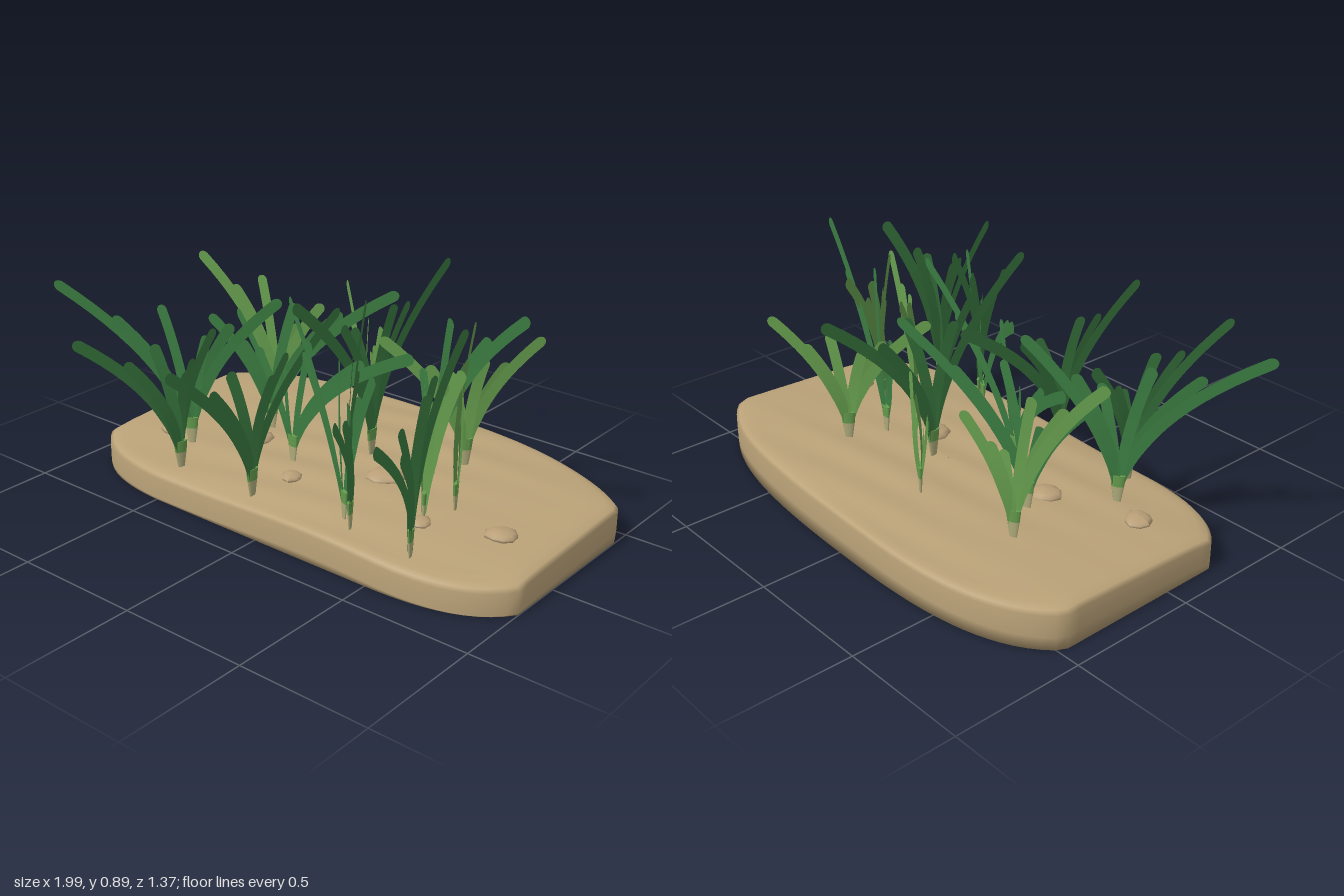
import * as THREE from 'three';

const mat = (name, color, side = THREE.FrontSide) => {
  const m = new THREE.MeshStandardMaterial({ color, side });
  m.name = name;
  return m;
};

// Height of the sand surface: falls to the front, back and ends, with gentle ripples
const sandHeight = (x, z) => 0.15 - 0.04 * z - 0.07 * Math.max(0, -z - 0.4) - 0.06 * Math.max(0, z - 0.1)
  - 0.025 * Math.abs(x) ** 3
  + 0.004 * Math.sin(z * 32 + x * 4) * Math.exp(-3 * x * x)
  + 0.006 * Math.sin(x * 5 + 0.6);

// Skin a list of equal-length closed rings of points
function loft(rings) {
  const n = rings[0].length, pos = [], idx = [];
  rings.forEach(r => r.forEach(p => pos.push(p.x, p.y, p.z)));
  for (let i = 0; i < rings.length - 1; i++) {
    for (let j = 0; j < n; j++) {
      const a = i * n + j, b = i * n + (j + 1) % n;
      idx.push(a, b, b + n, a, b + n, a + n);
    }
  }
  const g = new THREE.BufferGeometry();
  g.setAttribute('position', new THREE.Float32BufferAttribute(pos, 3));
  g.setIndex(idx);
  g.computeVertexNormals();
  return g;
}

// Sand slab: flat underside, upright wall, narrow rounded rim and rippled top
function sandGeometry() {
  const s = new THREE.Shape();
  s.moveTo(-0.92, 0.21);
  s.lineTo(-0.92, -0.48);
  s.bezierCurveTo(-0.78, -0.66, -0.5, -0.69, -0.2, -0.69);
  s.bezierCurveTo(0.3, -0.68, 0.8, -0.66, 1, -0.44);
  s.lineTo(1, 0.21);
  s.bezierCurveTo(0.9, 0.36, 0.7, 0.385, 0.5, 0.385);
  s.lineTo(-0.5, 0.38);
  s.bezierCurveTo(-0.72, 0.37, -0.85, 0.31, -0.92, 0.21);
  const outline = s.getSpacedPoints(120).slice(0, -1).reverse();
  const cx = 0.04, cz = -0.15;
  const ring = (k, drop) => outline.map(p => {
    const x = cx + (p.x - cx) * k, z = cz + (p.y - cz) * k;
    return new THREE.Vector3(x, drop === null ? 0 : sandHeight(x, z) - drop, z);
  });
  const rings = [ring(0.001, null), ring(0.998, null), ring(1, 0.1), ring(1, 0.018), ring(0.985, 0.006), ring(0.95, 0)];
  for (let i = 1; i <= 18; i++) rings.push(ring(0.95 * (1 - i / 18) + 0.001, 0));
  return loft(rings);
}

// Strap leaf: starts upright, arches to a round tip, broad in its own vertical plane
function leafGeometry(base, tip, halfWidth) {
  const off = new THREE.Vector3().subVectors(tip, base);
  const ctrl = new THREE.Vector3(base.x + off.x * 0.08, base.y + off.y * 0.53, base.z + off.z * 0.08);
  const curve = new THREE.QuadraticBezierCurve3(base, ctrl, tip);
  const N = new THREE.Vector3(off.z, 0, -off.x).normalize();
  const roundFrom = 1 - halfWidth / curve.getLength();
  const rows = 20, bodyRows = 14;
  const g = new THREE.PlaneGeometry(1, 1, 1, rows);
  for (let i = 0; i <= rows; i++) {
    const a = Math.max(0, (i - bodyRows) / (rows - bodyRows)) * Math.PI / 2;
    const t = i <= bodyRows ? roundFrom * i / bodyRows : roundFrom + (1 - roundFrom) * Math.sin(a);
    const S = new THREE.Vector3().crossVectors(N, curve.getTangent(t));
    const w = halfWidth * (0.5 + 0.5 * Math.min(1, t / 0.35)) * Math.cos(a);
    const mid = curve.getPoint(t).addScaledVector(N, 0.01 * Math.sin(Math.PI * t));
    [w, -w].forEach((k, j) => {
      const p = mid.clone().addScaledVector(S, k);
      g.attributes.position.setXYZ(2 * i + j, p.x, p.y, p.z);
    });
  }
  g.computeVertexNormals();
  return g;
}

export function createModel() {
  const model = new THREE.Group();
  const sand = mat('sand', 0xbaa278);
  const stone = mat('stone', 0xb99f78);
  const dark = mat('deep green', 0x3a7a40, THREE.DoubleSide);
  const light = mat('light green', 0x659c4d, THREE.DoubleSide);
  const pale = mat('pale sheath', 0xb0ad7c);
  const add = (parent, name, geo, material) => {
    const m = new THREE.Mesh(geo, material);
    m.name = name;
    parent.add(m);
    return m;
  };

  add(model, 'sandBed', sandGeometry(), sand);

  // Flattened pebbles: x, z, radius
  [[-0.69, 0.09, 0.053], [-0.36, -0.04, 0.06], [-0.04, 0.13, 0.042],
    [0.24, -0.07, 0.07], [0.53, 0.11, 0.042], [0.79, 0, 0.056]].forEach(([x, z, r], i) => {
    const g = new THREE.SphereGeometry(r, 9, 7);
    const p = g.attributes.position;
    for (let k = 0; k < p.count; k++) {
      const a = Math.atan2(p.getZ(k), p.getX(k));
      const f = 1 + 0.1 * Math.sin(2 * a + i) + 0.06 * Math.sin(3 * a + 2 * i);
      p.setXYZ(k, p.getX(k) * f, p.getY(k) * 0.36, p.getZ(k) * f);
    }
    g.computeVertexNormals();
    const m = add(model, 'pebble', g, stone);
    m.position.set(x, sandHeight(x, z) + 0.004, z);
    m.rotation.y = i;
  });

  // Grass tufts: base x, z, then the tips of the two longest leaves
  const darkTufts = [
    [-0.55, 0.13, [-0.99, 0.76, 0.39], [-0.25, 0.73, -0.06]],
    [-0.45, 0.29, [-0.585, 0.69, 0.66], [-0.44, 0.62, 0.1]],
    [-0.385, -0.15, [0.09, 0.76, -0.33], [-0.6, 0.6, -0.04]],
    [-0.12, 0.03, [0.49, 0.74, 0.12], [-0.52, 0.62, -0.11]],
    [-0.075, 0.305, [-0.115, 0.69, 0.67], [-0.06, 0.71, -0.17]],
    [0.09, -0.18, [0.1, 0.82, -0.64], [0.07, 0.86, 0.24]],
    [0.3, 0.245, [-0.21, 0.75, -0.06], [0.48, 0.73, 0.32]],
    [0.355, 0.28, [0.45, 0.61, 0.49], [0.22, 0.86, 0.03]],
    [0.36, -0.19, [0.785, 0.88, -0.11], [0.3, 0.56, -0.2]],
    [0.62, 0.29, [0.755, 0.68, 0.675], [0.65, 0.86, 0.05]],
  ];
  const lightTufts = [
    [-0.5, -0.32, [-0.79, 0.78, -0.19], [-0.34, 0.6, -0.41]],
    [-0.08, -0.38, [-0.36, 0.65, -0.585], [0, 0.6, -0.35]],
    [0.41, -0.33, [0.6, 0.65, -0.53], [0.16, 0.66, -0.13]],
    [0.57, -0.04, [0.48, 0.76, -0.26], [0.66, 0.72, 0.08]],
    [0.52, 0.08, [0.4, 0.64, -0.08], [0.67, 0.73, 0.09]],
  ];
  const addTuft = (material, [x, z, ...tips]) => {
    const tuft = new THREE.Group();
    tuft.name = 'grassTuft';
    model.add(tuft);
    const y = sandHeight(x, z) - 0.01;
    const base = new THREE.Vector3(x, y + 0.03, z);
    // Each long leaf has two shorter, steeper ones inside it, turned a little: spread, rise, turn
    tips.forEach(([tx, ty, tz], i) => [[1, 1, 0], [0.55 - 0.08 * i, 0.85, 0.12], [0.22, 0.9 - 0.1 * i, -0.2]]
      .forEach(([spread, rise, turn]) => {
        const tip = new THREE.Vector3(tx - x, 0, tz - z).multiplyScalar(spread)
          .applyAxisAngle(THREE.Object3D.DEFAULT_UP, turn);
        add(tuft, 'leaf', leafGeometry(base, tip.add(new THREE.Vector3(x, ty * rise, z)), 0.021), material);
      }));
    // Flared sheath and green collar, flattened along the plane of the leaves
    const heading = -Math.atan2(tips[0][2] - z, tips[0][0] - x);
    [['sheath', 0.023, 0.012, 0.07, 0.035, pale], ['collar', 0.028, 0.023, 0.045, 0.0925, light]]
      .forEach(([name, top, bottom, h, up, m]) => {
        const part = add(tuft, name, new THREE.CylinderGeometry(top, bottom, h, 12), m);
        part.scale.z = 0.35;
        part.position.set(x, y + up, z);
        part.rotation.y = heading;
      });
  };
  darkTufts.forEach(t => addTuft(dark, t));
  lightTufts.forEach(t => addTuft(light, t));
  return model;
}
